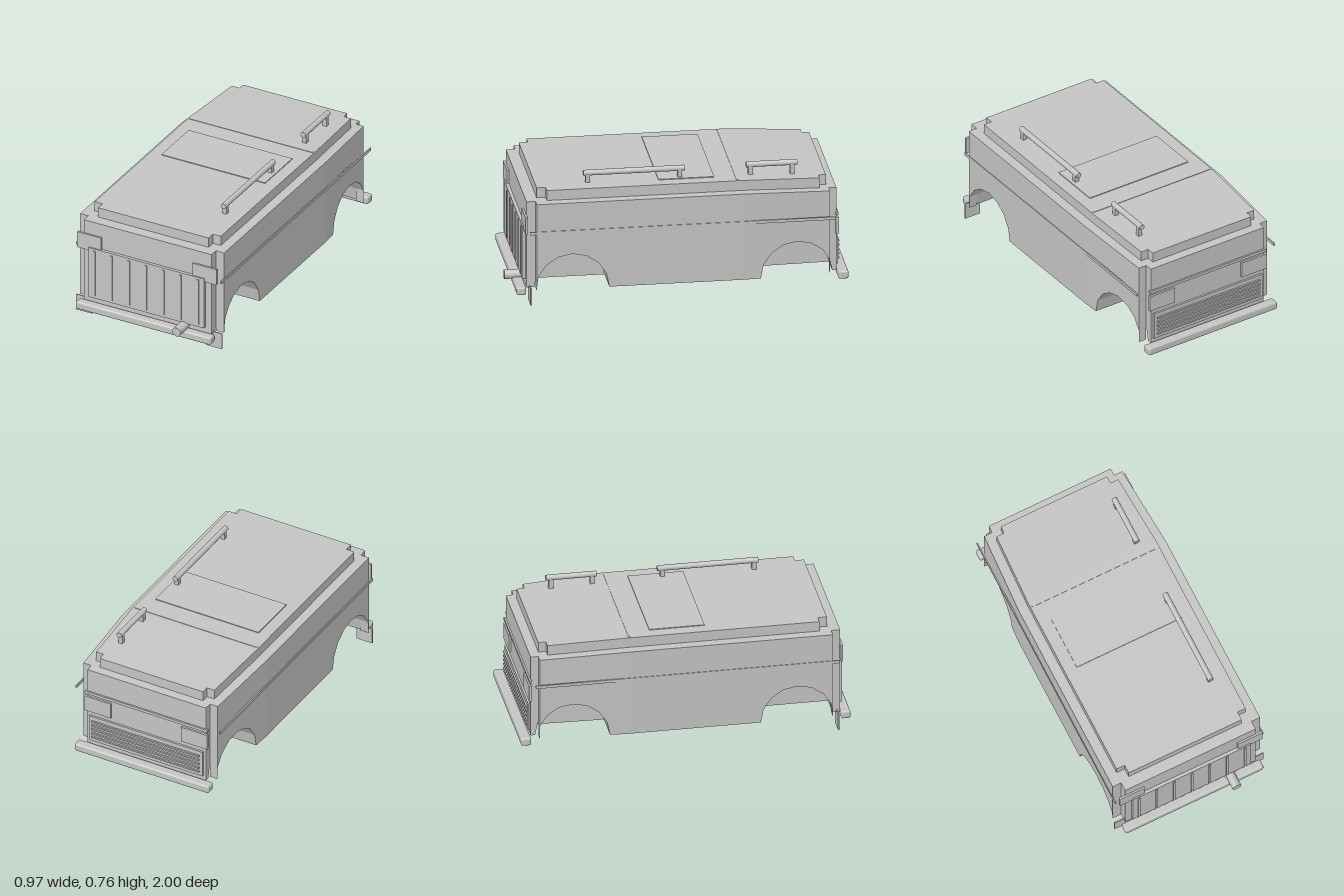
import * as THREE from 'three';
import { RoundedBoxGeometry } from 'three/addons/geometries/RoundedBoxGeometry.js';

const BREAK = -0.38; // behind this z the shell narrows and its top drops
const FLOOR = 0.09;
const ARCHES = [{ z: 0.63, r: 0.217 }, { z: -0.694, r: 0.215 }];

export function createModel() {
  const model = new THREE.Group();
  model.name = 'vehicleBody';
  const paint = new THREE.MeshStandardMaterial({ color: 0xc4c4c4 });
  paint.name = 'plain grey';

  function add(name, geometry, x = 0, y = 0, z = 0) {
    const mesh = new THREE.Mesh(geometry, paint);
    mesh.name = name;
    mesh.position.set(x, y, z);
    model.add(mesh);
    return mesh;
  }

  // Box given by its limits on each axis
  function box(name, x0, x1, y0, y1, z0, z1) {
    return add(name, new THREE.BoxGeometry(x1 - x0, y1 - y0, z1 - z0),
      (x0 + x1) / 2, (y0 + y1) / 2, (z0 + z1) / 2);
  }

  // Side outline extruded across x, then tapered behind the break
  function slab(name, x0, x1, z0, z1, y0, y1, arch) {
    const pts = [[z1, y1], [z1, y0]];
    if (arch) {
      for (let i = 0; i <= 8; i++) {
        const a = (Math.PI * i) / 8;
        const z = Math.min(z1, Math.max(z0, arch.z + arch.r * Math.cos(a)));
        pts.push([z, y0 + arch.r * Math.sin(a)]);
      }
    }
    pts.push([z0, y0], [z0, y1]);
    const clean = pts.filter((p, i) => i === 0 ||
      Math.hypot(p[0] - pts[i - 1][0], p[1] - pts[i - 1][1]) > 1e-5);
    const shape = new THREE.Shape(clean.map(([z, y]) => new THREE.Vector2(-z, y)));
    const geo = new THREE.ExtrudeGeometry(shape, { depth: x1 - x0, bevelEnabled: false });
    geo.translate(0, 0, x0);
    geo.rotateY(Math.PI / 2);
    const p = geo.attributes.position;
    for (let i = 0; i < p.count; i++) {
      const t = Math.max(0, BREAK - p.getZ(i)) / 0.51;
      p.setX(i, p.getX(i) * (1 - 0.0625 * t));
      if (p.getY(i) > y1 - 1e-4) p.setY(i, p.getY(i) - 0.02 * t);
    }
    geo.computeVertexNormals();
    add(name, geo);
  }

  // Front and rear halves of a slab, meeting at the break
  function shell(name, x0, x1, z0, z1, y0, y1, arched) {
    slab(name, x0, x1, BREAK, z1, y0, y1, arched && ARCHES[0]);
    slab(name, x0, x1, z0, BREAK, y0, y1, arched && ARCHES[1]);
  }

  // Body and stepped roof with notched corners
  shell('bodyCore', -0.28, 0.28, -0.935, 0.893, FLOOR, 0.625, false);
  shell('roofCore', -0.368, 0.368, -0.88, 0.825, 0.58, 0.687, false);
  for (const s of [-1, 1]) {
    const side = (name, a, b, ...rest) =>
      shell(name, Math.min(s * a, s * b), Math.max(s * a, s * b), ...rest);
    side('bodyArchSection', 0.28, 0.425, -0.935, 0.893, FLOOR, 0.625, true);
    side('bodySide', 0.425, 0.48, -0.89, 0.84, FLOOR, 0.625, true);
    side('roofSide', 0.368, 0.42, -0.835, 0.772, 0.58, 0.687, false);

    const plate = (name, a, b, ...rest) =>
      box(name, Math.min(s * a, s * b), Math.max(s * a, s * b), ...rest);
    plate('sideTrim', 0.476, 0.484, 0.437, 0.455, -0.92, 0.88);
    plate('mudFlap', 0.38, 0.485, 0, 0.102, 0.87, 0.877);
    plate('cornerPanel', 0.304, 0.465, 0.437, 0.54, 0.89, 0.904);
    plate('lampPanel', 0.235, 0.41, 0.32, 0.42, -0.947, -0.93);
  }

  // Ribbed door
  box('ribbedDoor', -0.384, 0.384, 0.13, 0.46, 0.89, 0.912);
  for (let i = -3; i <= 3; i++) {
    const x = i * 0.115;
    box('doorRib', x - 0.0065, x + 0.0065, 0.147, 0.445, 0.91, 0.918);
  }

  // Slatted grille and trim at the other end
  box('grille', -0.38, 0.38, 0.12, 0.29, -0.947, -0.93);
  for (let i = 0; i < 5; i++) {
    const y = 0.15 + i * 0.027;
    box('grilleSlat', -0.36, 0.36, y - 0.005, y + 0.005, -0.957, -0.945);
  }
  box('endTrim', -0.41, 0.41, 0.437, 0.455, -0.945, -0.93);

  // Bumpers and exhaust
  add('bumper', new RoundedBoxGeometry(0.9, 0.05, 0.056, 3, 0.012), 0, 0.075, 0.924);
  add('bumper', new RoundedBoxGeometry(0.9, 0.05, 0.06, 3, 0.012), 0, 0.075, -0.97);
  add('exhaustPipe', new THREE.CylinderGeometry(0.028, 0.028, 0.13, 24), 0.25, 0.111, 0.935)
    .rotation.x = Math.PI / 2;

  // Roof hatch and cross seam
  box('roofHatch', -0.345, 0.345, 0.68, 0.692, -0.223, 0.105);
  box('roofSeam', -0.41, 0.41, 0.68, 0.69, -0.358, -0.345);

  // Roof rails on posts
  for (const [z0, z1] of [[-0.055, 0.543], [-0.715, -0.415]]) {
    add('roofRail', new THREE.CylinderGeometry(0.017, 0.017, z1 - z0, 16),
      0.31, 0.743, (z0 + z1) / 2).rotation.x = Math.PI / 2;
    for (const z of [z0 + 0.03, z1 - 0.025]) {
      box('railPost', 0.298, 0.324, 0.66, 0.74, z - 0.013, z + 0.013);
    }
  }
  return model;
}
